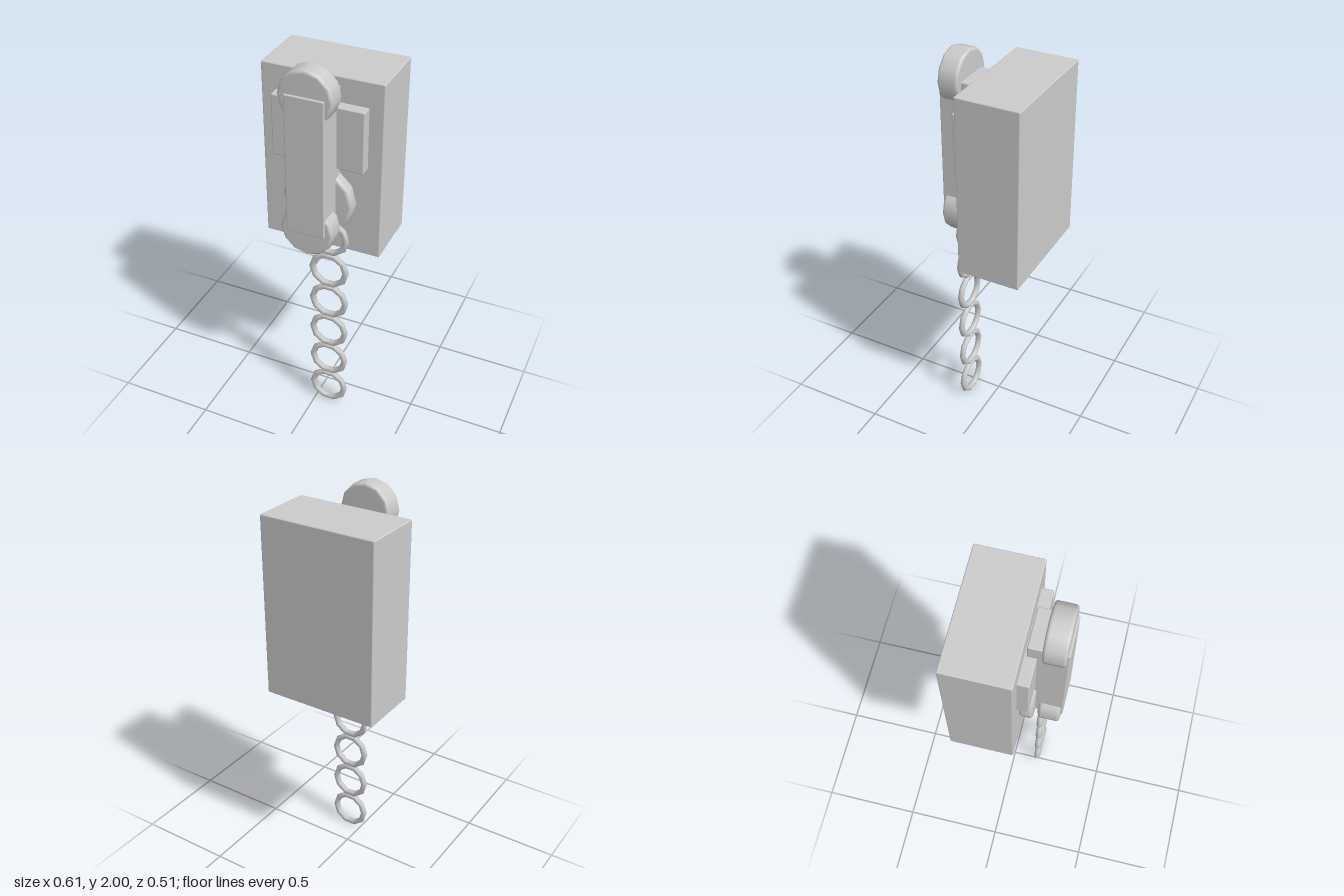
import * as THREE from 'three';
import { RoundedBoxGeometry } from 'three/addons/geometries/RoundedBoxGeometry.js';

const material = new THREE.MeshStandardMaterial({ color: 0xcccccc });

function add(group, name, geometry, x, y, z) {
  const mesh = new THREE.Mesh(geometry, material);
  mesh.name = name;
  mesh.position.set(x, y, z);
  group.add(mesh);
  return mesh;
}

// Softly bevelled box given by its size
const box = (w, h, d, bevel) => new RoundedBoxGeometry(w, h, d, 2, bevel);

// Twelve-sided disc facing +z with rounded rims, centred on its depth
function disc(radius, depth, bevel) {
  const h = depth / 2;
  const points = [new THREE.Vector2(0, -h)];
  for (const side of [-1, 1]) {
    for (let i = 0; i <= 3; i++) {
      const a = (side < 0 ? i : 3 - i) / 3 * Math.PI / 2;
      points.push(new THREE.Vector2(
        radius - bevel + bevel * Math.sin(a),
        side * (h - bevel + bevel * Math.cos(a))));
    }
  }
  points.push(new THREE.Vector2(0, h));
  return new THREE.LatheGeometry(points, 12).rotateX(Math.PI / 2);
}

export function createModel() {
  const model = new THREE.Group();
  model.name = 'wallTelephone';

  // Wall box with raised front panel and dial
  add(model, 'body', box(0.606, 0.925, 0.319, 0.006), 0, 1.4475, -0.0975);
  add(model, 'frontPanel', box(0.462, 0.315, 0.08, 0.006), 0, 1.6275, 0.076);
  add(model, 'dial', disc(0.182, 0.07, 0.02), 0, 1.27, 0.088);

  // Handset: grip with a round cap at each end
  const handset = new THREE.Group();
  handset.name = 'handset';
  add(handset, 'grip', box(0.195, 0.715, 0.183, 0.006), 0, 1.5175, 0.1635);
  add(handset, 'earpiece', disc(0.135, 0.105, 0.015), 0, 1.865, 0.1925);
  add(handset, 'mouthpiece', disc(0.135, 0.105, 0.015), 0, 1.17, 0.1925);
  model.add(handset);

  // Cord: a hanging row of linked rings
  const cord = new THREE.Group();
  cord.name = 'cord';
  const ring = new THREE.TorusGeometry(0.09, 0.016, 8, 10);
  for (let i = 0; i < 6; i++) {
    add(cord, 'cordRing', ring, 0.07, 0.102 + i * 0.197, 0.136);
  }
  model.add(cord);

  return model;
}
